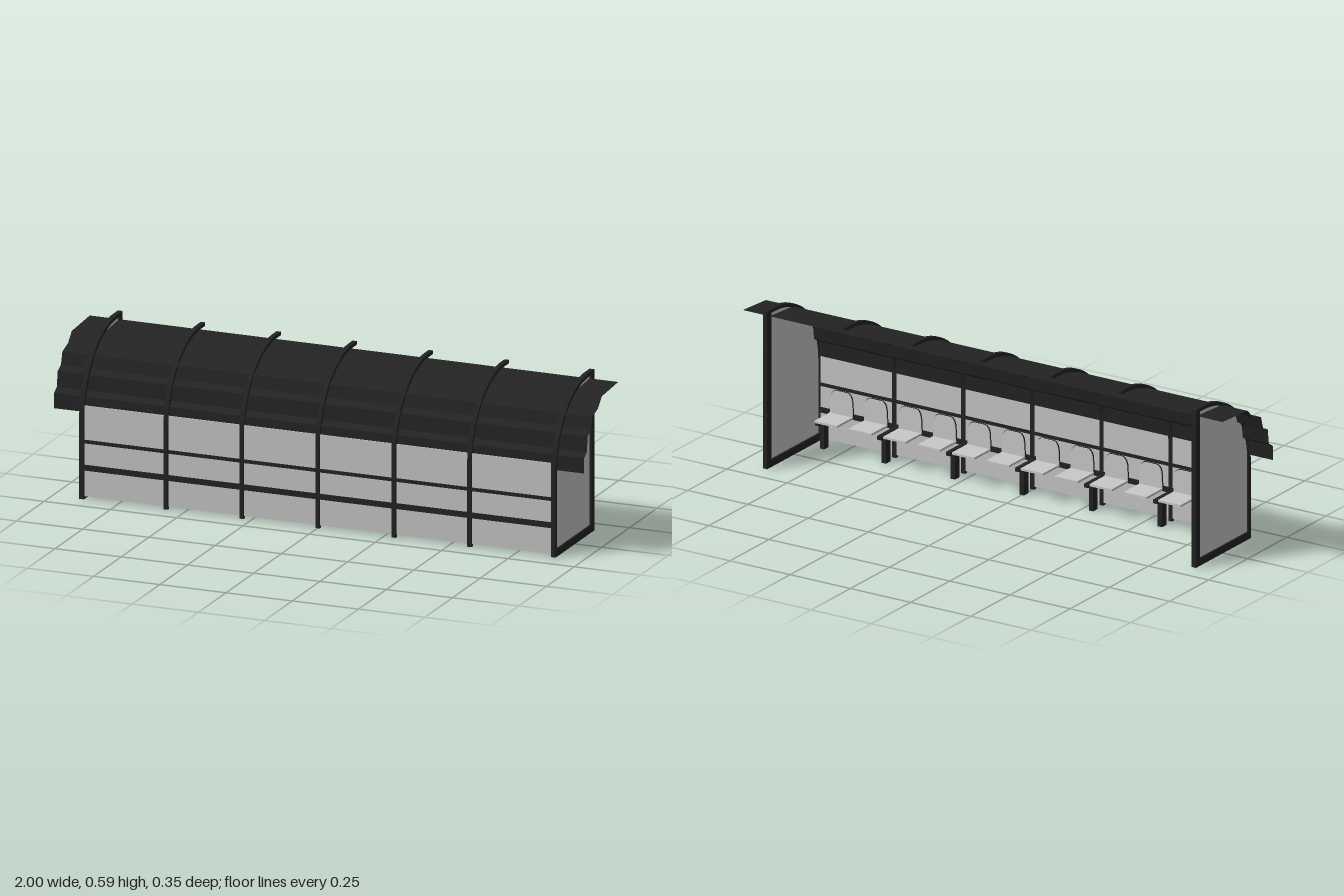
import * as THREE from 'three';

const material = (name, color, side = THREE.FrontSide) => {
  const m = new THREE.MeshStandardMaterial({ color, side });
  m.name = name;
  return m;
};

// Points (z, y) on the quarter arch, inset from the outer edge
function arch(inset, endZ) {
  const points = [];
  const cz = -0.125, cy = 0.302;
  for (let i = 0; i <= 20; i++) {
    const a = (i / 20) * Math.PI / 2;
    points.push(new THREE.Vector2(cz + (0.3 - inset) * Math.cos(a), cy + (0.285 - inset) * Math.sin(a)));
  }
  points.push(new THREE.Vector2(endZ, cy + 0.285 - inset));
  return points;
}

// Closed outline of an end wall
function endOutline(inset, bottom, backZ) {
  return [new THREE.Vector2(backZ, bottom), new THREE.Vector2(0.175 - inset, bottom), ...arch(inset, backZ)];
}

// Extrude a (z, y) shape along x, centred on x = 0
function extrudeX(shape, width) {
  const g = new THREE.ExtrudeGeometry(shape, { depth: width, bevelEnabled: false });
  g.translate(0, 0, -width / 2);
  return g.rotateY(-Math.PI / 2);
}

export function createModel() {
  const model = new THREE.Group();
  model.name = 'benchShelter';
  const frame = material('frame charcoal', 0x222222);
  const roofMat = material('roof charcoal', 0x232323, THREE.DoubleSide);
  const panel = material('panel grey', 0xc4c4c4, THREE.DoubleSide);
  const seatMat = material('seat grey', 0xc8c8c8);

  const add = (name, geometry, mat, x = 0, y = 0, z = 0, parent = model) => {
    const mesh = new THREE.Mesh(geometry, mat);
    mesh.name = name;
    mesh.position.set(x, y, z);
    parent.add(mesh);
    return mesh;
  };
  const box = (name, w, h, d, mat, x, y, z, parent) =>
    add(name, new THREE.BoxGeometry(w, h, d), mat, x, y, z, parent);

  // Framed end walls
  const frameShape = new THREE.Shape(endOutline(0, 0, -0.175));
  frameShape.holes.push(new THREE.Path(endOutline(0.013, 0.027, -0.149)));
  const endFrame = extrudeX(frameShape, 0.018);
  const endPanel = extrudeX(new THREE.Shape(endOutline(0.01, 0.02, -0.155)), 0.004);
  for (const x of [-0.89, 0.89]) {
    add('endFrame', endFrame, frame, x);
    add('endPanel', endPanel, panel, x);
  }

  // Curved ribs between the ends
  const ribShape = new THREE.Shape([
    new THREE.Vector2(0.162, 0), new THREE.Vector2(0.175, 0),
    ...arch(0, -0.162), ...arch(0.013, -0.162).reverse(),
  ]);
  const rib = extrudeX(ribShape, 0.016);
  const ribXs = [-0.573, -0.287, 0, 0.287, 0.573];
  for (const x of ribXs) add('rib', rib, frame, x);

  // Long wall and its rails
  box('wallPanel', 1.78, 0.33, 0.004, panel, 0, 0.175, 0.167);
  box('upperRail', 1.78, 0.012, 0.012, frame, 0, 0.21, 0.168);
  box('lowerRail', 1.78, 0.02, 0.012, frame, 0, 0.115, 0.168);

  // Thin stepped roof sheet with flat strips; its back edge is slightly skewed
  const profile = [
    [0.163, 0.315], [0.16, 0.37], [0.135, 0.385], [0.128, 0.44], [0.098, 0.455],
    [0.085, 0.5], [0.035, 0.515], [0, 0.55], [-0.155, 0.56],
  ];
  const vertices = [];
  for (let i = 0; i < profile.length - 1; i++) {
    const [z0, y0] = profile[i], [z1, y1] = profile[i + 1];
    const skew = i === profile.length - 2 ? 0.007 : 0;
    const a = [-1, y0, z0], b = [1, y0, z0], c = [1, y1, z1 + skew], d = [-1, y1, z1 - skew];
    vertices.push(...a, ...b, ...c, ...a, ...c, ...d);
  }
  const roof = new THREE.BufferGeometry();
  roof.setAttribute('position', new THREE.Float32BufferAttribute(vertices, 3));
  roof.computeVertexNormals();
  add('roof', roof, roofMat);

  // Seats: flat pan and a rounded back with a dark rim
  const backShape = (r) => {
    const w = 0.048 + r, top = 0.09 + r;
    const s = new THREE.Shape();
    s.moveTo(-w, -r);
    s.lineTo(w, -r);
    s.lineTo(w * 0.94, top - 0.035);
    s.quadraticCurveTo(w * 0.88, top, w * 0.4, top);
    s.lineTo(-w * 0.4, top);
    s.quadraticCurveTo(-w * 0.88, top, -w * 0.94, top - 0.035);
    return s;
  };
  const extrudeBack = (r, depth) =>
    new THREE.ExtrudeGeometry(backShape(r), { depth, bevelEnabled: false, curveSegments: 8 });
  const seatBack = extrudeBack(0, 0.008);
  const seatRim = extrudeBack(0.0015, 0.004);
  const seatPan = new THREE.BoxGeometry(0.094, 0.008, 0.105);
  for (let i = 0; i < 12; i++) {
    const seat = new THREE.Group();
    seat.name = 'seat';
    seat.position.x = 0.785 - i * 0.1427;
    model.add(seat);
    add('seatPan', seatPan, seatMat, 0, 0.115, 0.103, seat);
    add('seatBack', seatBack, seatMat, 0, 0.114, 0.15, seat);
    add('seatRim', seatRim, frame, 0, 0.114, 0.153, seat);
  }

  // Seat legs with arms reaching the lower rail
  for (const x of [-0.83, ...ribXs, 0.83]) {
    box('seatLeg', 0.018, 0.1, 0.028, frame, x, 0.05, 0.11);
    box('seatArm', 0.016, 0.014, 0.1, frame, x, 0.103, 0.115);
  }
  return model;
}
